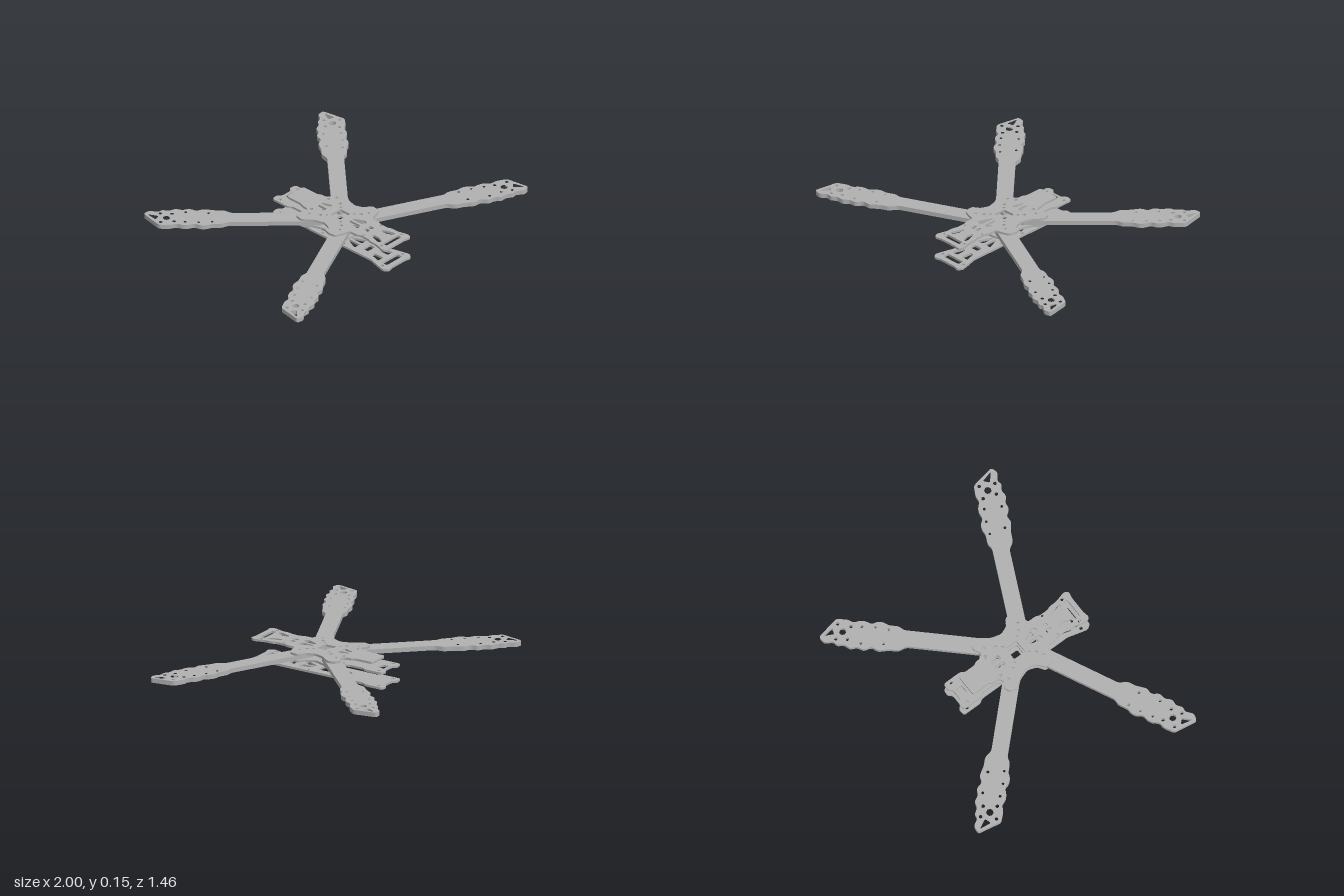
import * as THREE from 'three';

const carbon = new THREE.MeshStandardMaterial({ color: 0xb0b0b0 });
carbon.name = 'carbon grey';

// Trace a closed outline of [x, z] points with softened corners
function trace(path, pts, r) {
  const n = pts.length;
  const toward = (a, b) => {
    const d = Math.hypot(b[0] - a[0], b[1] - a[1]);
    const t = Math.min(r, d * 0.45) / d;
    return [a[0] + (b[0] - a[0]) * t, a[1] + (b[1] - a[1]) * t];
  };
  pts.forEach((p, i) => {
    const a = toward(p, pts[(i + n - 1) % n]);
    const b = toward(p, pts[(i + 1) % n]);
    if (i === 0) path.moveTo(a[0], -a[1]);
    else path.lineTo(a[0], -a[1]);
    path.quadraticCurveTo(p[0], -p[1], b[0], -b[1]);
  });
  path.closePath();
  return path;
}

// Flat plate with cut-outs and round screw holes [x, z, radius]
function plate(name, outline, cutouts, screws, y, thickness) {
  const shape = trace(new THREE.Shape(), outline, 0.016);
  cutouts.forEach(c => shape.holes.push(trace(new THREE.Path(), c, 0.01)));
  screws.forEach(([x, z, r]) => {
    const hole = new THREE.Path();
    hole.absarc(x, -z, r, 0, Math.PI * 2, true);
    shape.holes.push(hole);
  });
  const geo = new THREE.ExtrudeGeometry(shape, { depth: thickness, bevelEnabled: false, curveSegments: 4 });
  geo.rotateX(-Math.PI / 2);
  const mesh = new THREE.Mesh(geo, carbon);
  mesh.name = name;
  mesh.position.y = y;
  return mesh;
}

const flip = pts => pts.map(([x, ...rest]) => [-x, ...rest]);
const symmetric = half => [...half, ...flip(half).reverse()];
const both = list => [...list, ...flip(list)];
const bothCuts = list => [...list, ...list.map(flip)];
const rect = (x, z, w, d) => [
  [x - w / 2, z - d / 2], [x + w / 2, z - d / 2], [x + w / 2, z + d / 2], [x - w / 2, z + d / 2]];

// Right half of the X-shaped hub, front lobe to rear lobe
const hub = [[0.15, 0.285], [0.19, 0.268], [0.197, 0.21], [0.15, 0.18], [0.13, 0.125],
  [0.15, 0.06], [0.197, 0.0], [0.188, -0.05], [0.15, -0.065], [0.115, -0.04]];
const hubScrews = both([[0.085, 0.05, 0.011], [0.085, 0.22, 0.011], [0.06, 0.08, 0.009],
  [0.06, 0.19, 0.009], [0.075, -0.035, 0.011], [0.12, -0.01, 0.009], [0.125, 0.245, 0.009]]);

// Forked rear end shared by the two lower plates
const rearHead = [[0.083, -0.08], [0.083, -0.18], [0.1, -0.2], [0.1, -0.325],
  [0.055, -0.33], [0.038, -0.305]];
const rearScrews = both([[0.075, -0.285, 0.011]]);

// Arm in local [along, across] coordinates, motor at the origin
const armOutline = [
  [0.1, -0.08], [0.047, -0.067], [0.025, -0.088], [-0.017, -0.078], [-0.054, -0.1],
  [-0.096, -0.085], [-0.137, -0.1], [-0.18, -0.075], [-0.22, -0.095], [-0.285, -0.08],
  [-0.34, -0.08], [-0.385, -0.05], [-0.92, -0.05], [-0.975, 0], [-0.92, 0.05],
  [-0.36, 0.05], [-0.33, 0.07], [-0.265, 0.07], [-0.235, 0.085], [-0.2, 0.085],
  [-0.165, 0.065], [-0.13, 0.08], [-0.095, 0.08], [-0.058, 0.062], [-0.024, 0.078],
  [0.047, 0.075], [0.135, -0.05]];
const armSlot = [[0.112, -0.042], [0.046, -0.022], [0.064, 0.016]];
const armHoles = [[0, 0, 0.022], [0.035, 0.045, 0.011], [-0.033, -0.045, 0.011], [0.035, -0.05, 0.011],
  [-0.045, 0.038, 0.011], [-0.115, -0.06, 0.009], [-0.11, 0.045, 0.009],
  [-0.19, 0.05, 0.008], [-0.25, -0.05, 0.009], [-0.27, 0.045, 0.008]];

function arm(name, side, end, motor, root) {
  const dx = motor[0] - root[0], dz = motor[1] - root[1], len = Math.hypot(dx, dz);
  const [ux, uz] = [dx / len, dz / len];
  // positive "across" points toward the model's sides
  const [vx, vz] = end > 0 ? [uz, -ux] : [-uz, ux];
  const place = ([u, v, ...rest]) =>
    [side * (motor[0] + u * ux + v * vx), motor[1] + u * uz + v * vz, ...rest];
  return plate(name, armOutline.map(place), [armSlot.map(place)], armHoles.map(place), 0.107, 0.028);
}

export function createModel() {
  const model = new THREE.Group();
  model.name = 'quadcopterFrame';

  // Four arms between the hub plates
  for (const side of [1, -1]) {
    const s = side > 0 ? 'Left' : 'Right';
    model.add(arm('front' + s + 'Arm', side, 1, [0.9, 0.617], [0, 0.187]));
    model.add(arm('rear' + s + 'Arm', side, -1, [0.717, -0.605], [0, 0.14]));
  }

  // Upper hub plate with the long nose
  model.add(plate('upperHubPlate',
    symmetric([[0.06, 0.598], [0.1, 0.608], [0.115, 0.58], [0.095, 0.51], [0.095, 0.46], [0.085, 0.44],
      [0.085, 0.38], [0.096, 0.355], [0.096, 0.3], ...hub, [0.085, -0.055], [0.083, -0.1],
      [0.07, -0.12], [0.07, -0.235]]),
    [rect(0, 0.133, 0.085, 0.08), rect(0, 0.552, 0.13, 0.032),
      ...bothCuts([
        [[0.01, -0.035], [0.02, -0.035], [0.042, 0.03], [0.01, 0.035]],
        [[0.008, 0.215], [0.02, 0.225], [0.05, 0.29], [0.035, 0.315], [0.008, 0.3]],
        rect(0.018, 0.365, 0.022, 0.035),
        [[0.03, 0.43], [0.045, 0.43], [0.07, 0.5], [0.062, 0.52], [0.045, 0.51], [0.03, 0.47]],
      ])],
    [...hubScrews, ...both([[0.075, 0.39, 0.008], [0.085, 0.545, 0.01]])], 0.135, 0.014));

  // Lower hub plate with the forked tail
  model.add(plate('lowerHubPlate',
    symmetric([[0.08, 0.305], ...hub, ...rearHead]),
    [rect(0, 0.133, 0.07, 0.07), rect(0, -0.268, 0.056, 0.045),
      ...bothCuts([
        [[0.01, -0.035], [0.02, -0.035], [0.042, 0.03], [0.01, 0.035]],
        [[0.008, 0.215], [0.02, 0.225], [0.05, 0.285], [0.008, 0.285]],
      ])],
    [...hubScrews, ...rearScrews], 0.094, 0.013));

  // Separate base plate
  model.add(plate('basePlate',
    symmetric([[0.06, 0.605], [0.095, 0.617], [0.117, 0.585], [0.095, 0.5], [0.083, 0.46],
      [0.083, 0.2], ...rearHead]),
    [rect(0, 0.552, 0.13, 0.04), rect(0, 0.133, 0.07, 0.08), rect(0, 0.365, 0.06, 0.04),
      ...bothCuts([
        [[0.01, -0.04], [0.02, -0.04], [0.05, 0.04], [0.01, 0.04]],
        [[0.008, 0.215], [0.02, 0.22], [0.055, 0.3], [0.008, 0.3]],
        [[0.02, 0.43], [0.045, 0.43], [0.065, 0.5], [0.02, 0.5]],
      ])],
    [...rearScrews, ...both([[0.088, 0.555, 0.011], [0.066, 0.05, 0.01], [0.066, 0.22, 0.01]])], 0, 0.014));

  return model;
}
